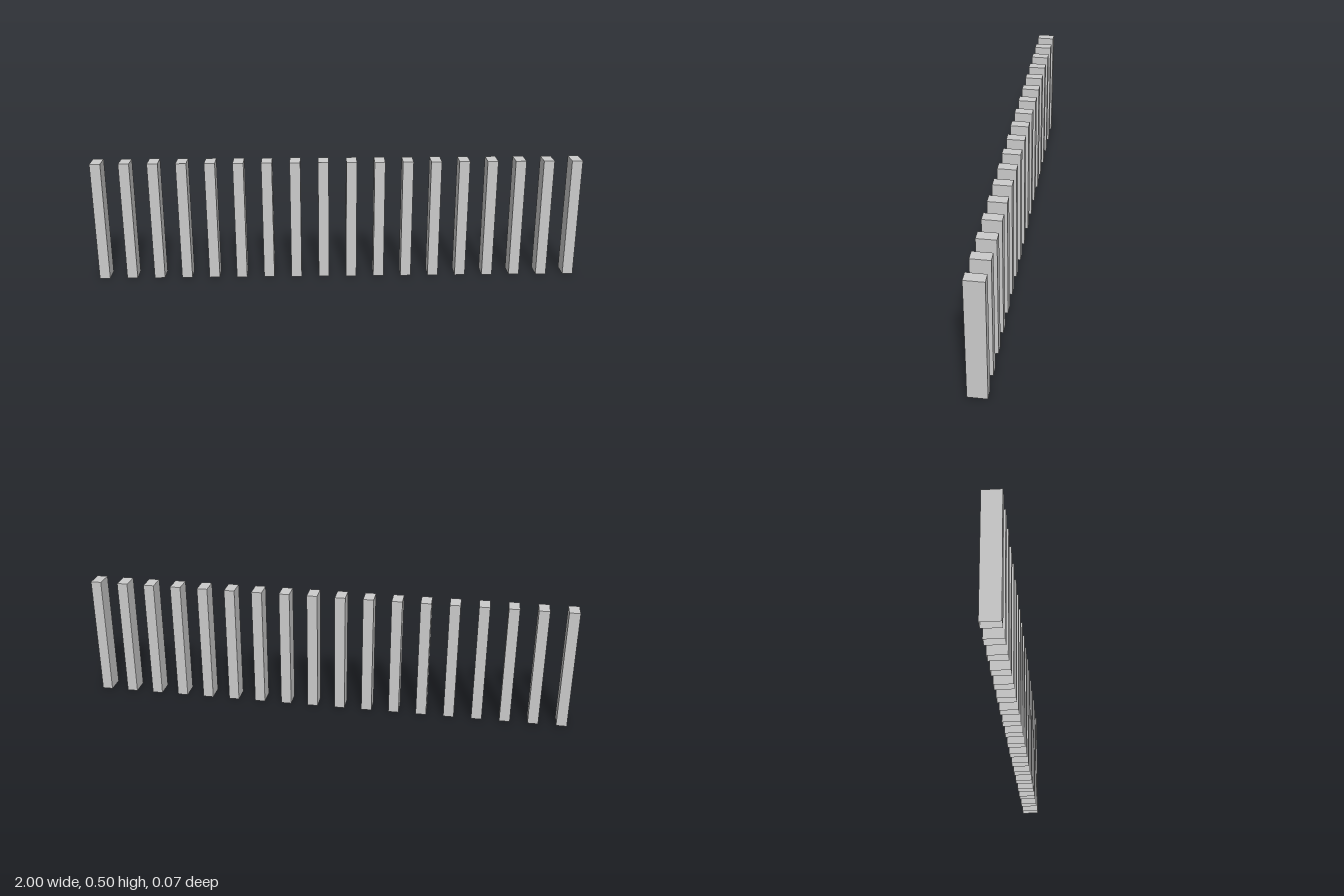
import * as THREE from 'three';

const COUNT = 18, WIDTH = 0.043, HEIGHT = 0.501, DEPTH = 0.074;

// Box with its underside left open
function openBottomBox(w, h, d) {
  const geometry = new THREE.BoxGeometry(w, h, d);
  const index = Array.from(geometry.index.array);
  index.splice(18, 6); // the two triangles of the -y side
  geometry.setIndex(index);
  geometry.clearGroups();
  return geometry.translate(0, h / 2, 0);
}

export function createModel() {
  const group = new THREE.Group();
  group.name = 'slatRow';
  const material = new THREE.MeshStandardMaterial({ color: 0xcccccc, side: THREE.DoubleSide });
  const geometry = openBottomBox(WIDTH, HEIGHT, DEPTH);

  // Evenly spaced upright slats, outer faces at x = -1 and x = 1
  const step = (2 - WIDTH) / (COUNT - 1);
  for (let i = 0; i < COUNT; i++) {
    const slat = new THREE.Mesh(geometry, material);
    slat.name = `slat${i + 1}`;
    slat.position.x = -1 + WIDTH / 2 + i * step;
    group.add(slat);
  }
  return group;
}
